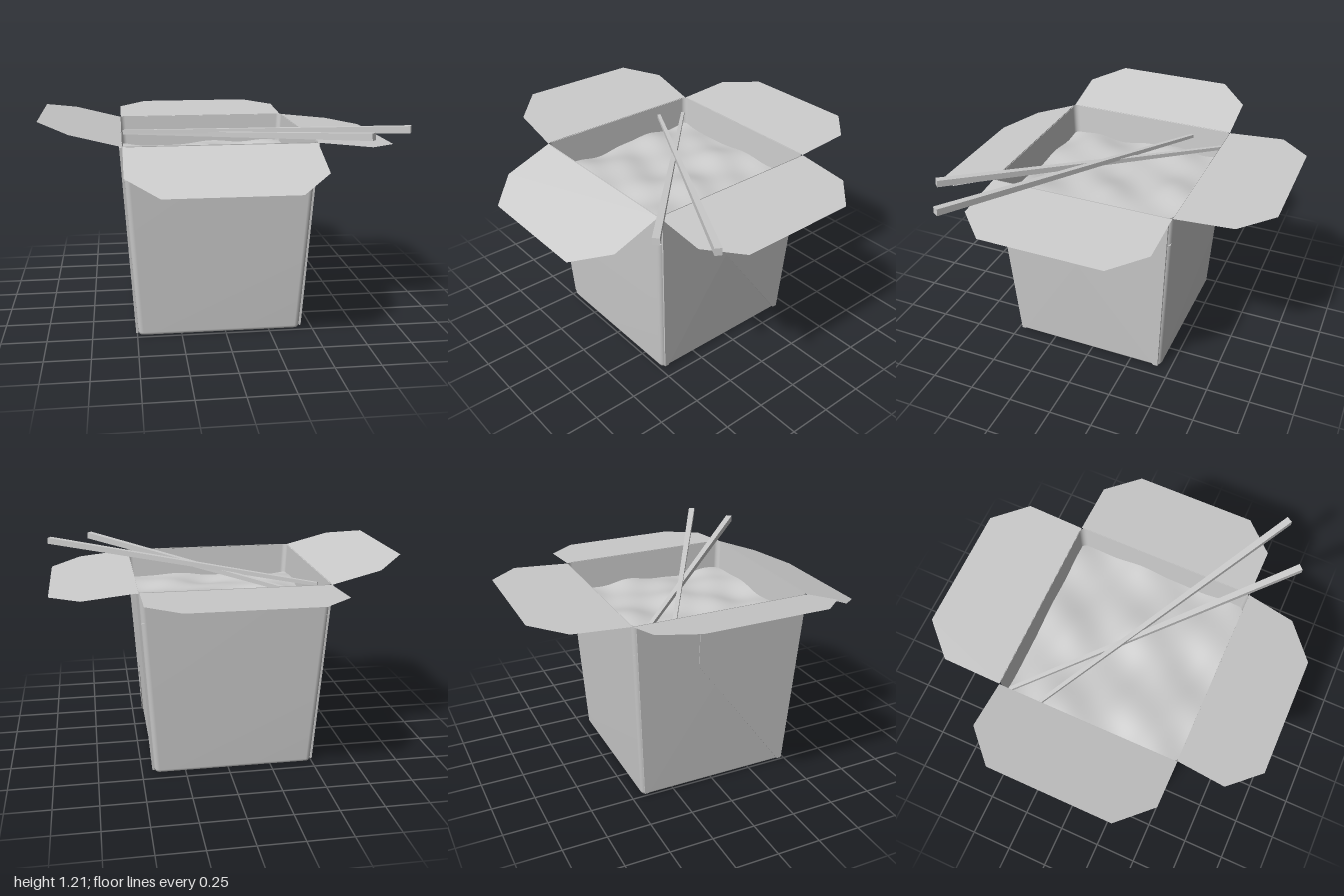
import * as THREE from 'three';

const H = 1.1;                                  // rim height
const wallX = (y) => 0.46 + (0.525 - 0.46) * y / H;

function material() {
  return new THREE.MeshStandardMaterial({ color: 0xcccccc, side: THREE.DoubleSide });
}

function addMesh(parent, name, geometry) {
  const mesh = new THREE.Mesh(geometry, material());
  mesh.name = name;
  parent.add(mesh);
  return mesh;
}

// Tapered carton wall: stacked rounded rectangles with a closed bottom
function cartonGeometry() {
  const levels = [[0.005, 0.447, 0.447, 0.02], [0.01, 0.455, 0.458, 0.025],
    [0.025, 0.461, 0.465, 0.03], [0.55, 0.493, 0.494, 0.03], [H, 0.525, 0.522, 0.03]];
  const seg = 4, ring = 4 * (seg + 1);
  const pos = [0, 0.005, 0], index = [];
  for (const [y, hx, hz, r] of levels) {
    for (let c = 0; c < 4; c++) {
      const sx = c === 0 || c === 3 ? 1 : -1, sz = c < 2 ? 1 : -1;
      for (let i = 0; i <= seg; i++) {
        const a = (c + i / seg) * Math.PI / 2;
        pos.push(sx * (hx - r) + r * Math.cos(a), y, sz * (hz - r) + r * Math.sin(a));
      }
    }
  }
  for (let i = 0; i < ring; i++) {
    const j = (i + 1) % ring;
    index.push(0, 1 + i, 1 + j);
    for (let l = 0; l < levels.length - 1; l++) {
      const a = 1 + l * ring + i, b = 1 + l * ring + j;
      index.push(a, a + ring, b, b, a + ring, b + ring);
    }
  }
  const g = new THREE.BufferGeometry();
  g.setAttribute('position', new THREE.Float32BufferAttribute(pos, 3));
  g.setIndex(index);
  g.computeVertexNormals();
  return g;
}

// Thin board lying on the leaning +x wall, outlined by [z, y] points
function sideBoard(points, thickness) {
  const shape = new THREE.Shape(points.map(([z, y]) => new THREE.Vector2(-z, y)));
  const g = new THREE.ExtrudeGeometry(shape, { depth: thickness, bevelEnabled: false });
  g.rotateY(Math.PI / 2);
  const p = g.attributes.position;
  for (let i = 0; i < p.count; i++) p.setX(i, p.getX(i) + wallX(p.getY(i)));
  g.computeVertexNormals();
  return g;
}

// Folded side: two overlapping boards and a triangular gusset between them
function foldedSide() {
  const side = new THREE.Group();
  const seam = [[0.037, 0.65], [0.107, 0.74], [0.142, 0.79], [0.142, 1.09]];
  addMesh(side, 'lowerSideBoard', sideBoard(
    [[0.427, 0.02], ...seam, [0.505, 1.09], [0.45, 0.02]], 0.009));
  addMesh(side, 'upperSideBoard', sideBoard(
    [[-0.423, 0.02], ...seam, [-0.505, 1.09], [-0.45, 0.02]], 0.013));
  const g = new THREE.BufferGeometry();
  g.setAttribute('position', new THREE.Float32BufferAttribute([
    0.463, 0.02, 0.427, 0.463, 0.02, -0.423, wallX(0.65) + 0.012, 0.65, 0.037], 3));
  g.computeVertexNormals();
  addMesh(side, 'gusset', g);
  return side;
}

// Lid flap with clipped corners, hinged along the rim and sloping by rise
function flapGeometry(distance, length, rise) {
  const w = 0.52, c = 0.172;
  const shape = new THREE.Shape([[-w, 0], [w, 0], [w, length - c], [w - c, length],
    [c - w, length], [-w, length - c]].map(([u, v]) => new THREE.Vector2(u, v)));
  const g = new THREE.ShapeGeometry(shape);
  const p = g.attributes.position;
  for (let i = 0; i < p.count; i++) {
    const v = p.getY(i);
    p.setXYZ(i, -p.getX(i), H - 0.003 + rise * v / length, distance + v);
  }
  g.computeVertexNormals();
  return g;
}

// Lumpy food surface
function foodGeometry() {
  const g = new THREE.PlaneGeometry(1.026, 1.024, 40, 40).rotateX(-Math.PI / 2);
  const p = g.attributes.position;
  for (let i = 0; i < p.count; i++) {
    const x = p.getX(i), z = p.getZ(i);
    p.setY(i, 0.92 + 0.015 * Math.sin(9 * x + 4 * z) * Math.cos(8 * z - 3 * x)
      + 0.01 * Math.sin(17 * z + 5 * x + 1) * Math.sin(13 * x - 6 * z));
  }
  g.computeVertexNormals();
  return g;
}

// Square tapered stick between two points
function addStick(parent, from, to) {
  const a = new THREE.Vector3(...from), b = new THREE.Vector3(...to);
  const length = a.distanceTo(b);
  const g = new THREE.BoxGeometry(1, 1, length);
  const p = g.attributes.position;
  for (let i = 0; i < p.count; i++) {
    const s = p.getZ(i) > 0 ? 0.038 : 0.02;
    p.setXY(i, p.getX(i) * s, p.getY(i) * s);
  }
  g.computeVertexNormals();
  const stick = addMesh(parent, 'chopstick', g);
  stick.position.copy(a).add(b).multiplyScalar(0.5);
  stick.lookAt(b);
}

export function createModel() {
  const model = new THREE.Group();
  model.name = 'takeoutBox';

  const carton = new THREE.Group();
  carton.name = 'carton';
  carton.position.set(-0.033, 0, 0.023);
  model.add(carton);
  addMesh(carton, 'cartonWall', cartonGeometry());
  addMesh(carton, 'food', foodGeometry());

  // Folded sides, the second turned half way round
  for (const [name, turn] of [['leftFoldedSide', 0], ['rightFoldedSide', Math.PI]]) {
    const side = foldedSide();
    side.name = name;
    side.rotation.y = turn;
    carton.add(side);
  }

  // Four open flaps: quarter turns, hinge distance, length, rise
  const flaps = [['frontFlap', 0, 0.518, 0.45, -0.17], ['leftFlap', 1, 0.523, 0.475, -0.05],
    ['backFlap', 2, 0.52, 0.5, 0.033], ['rightFlap', 3, 0.522, 0.445, 0.113]];
  for (const [name, quarter, distance, length, rise] of flaps) {
    addMesh(carton, name, flapGeometry(distance, length, rise)).rotation.y = quarter * Math.PI / 2;
  }

  // Crossed chopsticks resting on the rim
  const sticks = new THREE.Group();
  sticks.name = 'chopsticks';
  model.add(sticks);
  addStick(sticks, [-0.54, 1.04, -0.265], [0.98, 1.167, 0.585]);
  addStick(sticks, [-0.535, 1.0, -0.46], [0.727, 1.16, 0.747]);
  return model;
}
